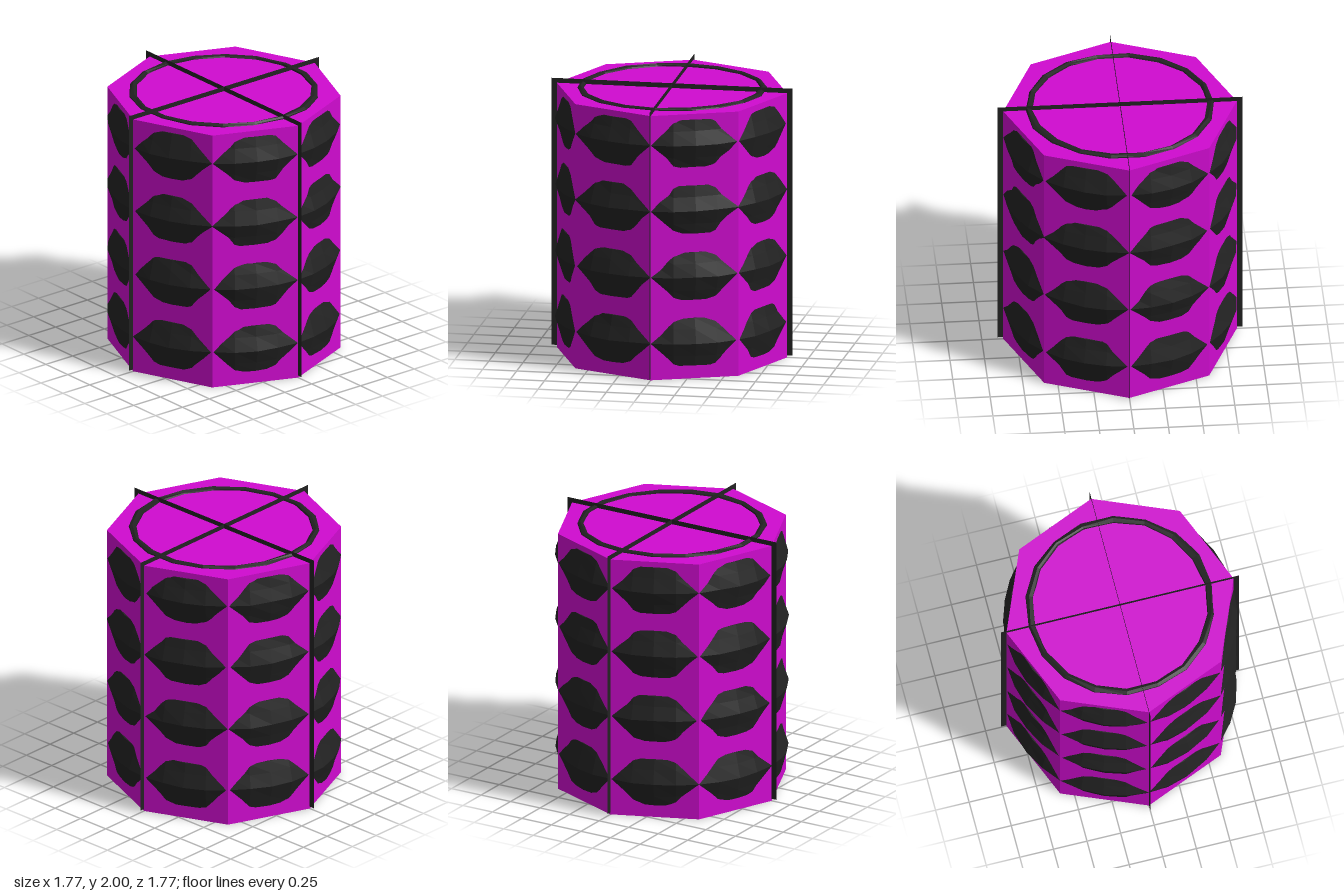
import * as THREE from 'three';

// small seeded generator, returns -1..1
function makeNoise(seed) {
  let s = seed;
  return () => {
    s = (s * 16807) % 2147483647;
    return (s / 2147483647) * 2 - 1;
  };
}

// faceted ring: a lathed profile whose vertices are nudged slightly
function roughRing(profile, segments, jitterR, jitterY, seed) {
  const geo = new THREE.LatheGeometry(profile.map(([r, y]) => new THREE.Vector2(r, y)), segments);
  const noise = makeNoise(seed);
  const pos = geo.attributes.position;
  const n = profile.length;
  for (let i = 0; i < segments; i++) {
    for (let j = 0; j < n; j++) {
      const k = i * n + j;
      const scale = 1 + jitterR * noise();
      pos.setXYZ(k, pos.getX(k) * scale, pos.getY(k) + jitterY * noise(), pos.getZ(k) * scale);
    }
  }
  // close the seam
  for (let j = 0; j < n; j++) {
    const e = segments * n + j;
    pos.setXYZ(e, pos.getX(j), pos.getY(j), pos.getZ(j));
  }
  const flat = geo.toNonIndexed();
  flat.computeVertexNormals();
  return flat;
}

export function createModel() {
  const model = new THREE.Group();
  const magenta = new THREE.MeshStandardMaterial({ color: 0xd00bd0 });
  magenta.name = 'magenta';
  const black = new THREE.MeshStandardMaterial({ color: 0x222222, side: THREE.DoubleSide });
  black.name = 'black';

  const add = (name, geo, mat) => {
    const mesh = new THREE.Mesh(geo, mat);
    mesh.name = name;
    model.add(mesh);
    return mesh;
  };

  // octagonal body
  const bodyGeo = new THREE.CylinderGeometry(0.845, 0.845, 1.965, 8).toNonIndexed();
  bodyGeo.computeVertexNormals();
  add('body', bodyGeo, magenta).position.y = 0.9825;

  // four bands that bulge through the flat sides
  const band = [
    [0.74, -0.18], [0.79, -0.176], [0.811, -0.1], [0.843, 0],
    [0.811, 0.1], [0.79, 0.176], [0.74, 0.18],
  ];
  [0.27, 0.76, 1.255, 1.745].forEach((y, i) => {
    add('band' + (i + 1), roughRing(band, 32, 0.004, 0.004, 101 + i * 977), black).position.y = y;
  });

  // uneven ring on the lid
  const lid = [[0.69, 1.95], [0.685, 1.972], [0.665, 1.983], [0.64, 1.975], [0.628, 1.95]];
  add('lidRing', roughRing(lid, 18, 0.012, 0.002, 4242), black);

  // two thin crossing sheets that stand out as straps at four corners
  for (let i = 0; i < 2; i++) {
    const sheet = add('crossSheet' + (i + 1), new THREE.PlaneGeometry(1.77, 1.985), black);
    sheet.position.y = 1.0075;
    sheet.rotation.y = i * Math.PI / 2;
  }
  return model;
}
